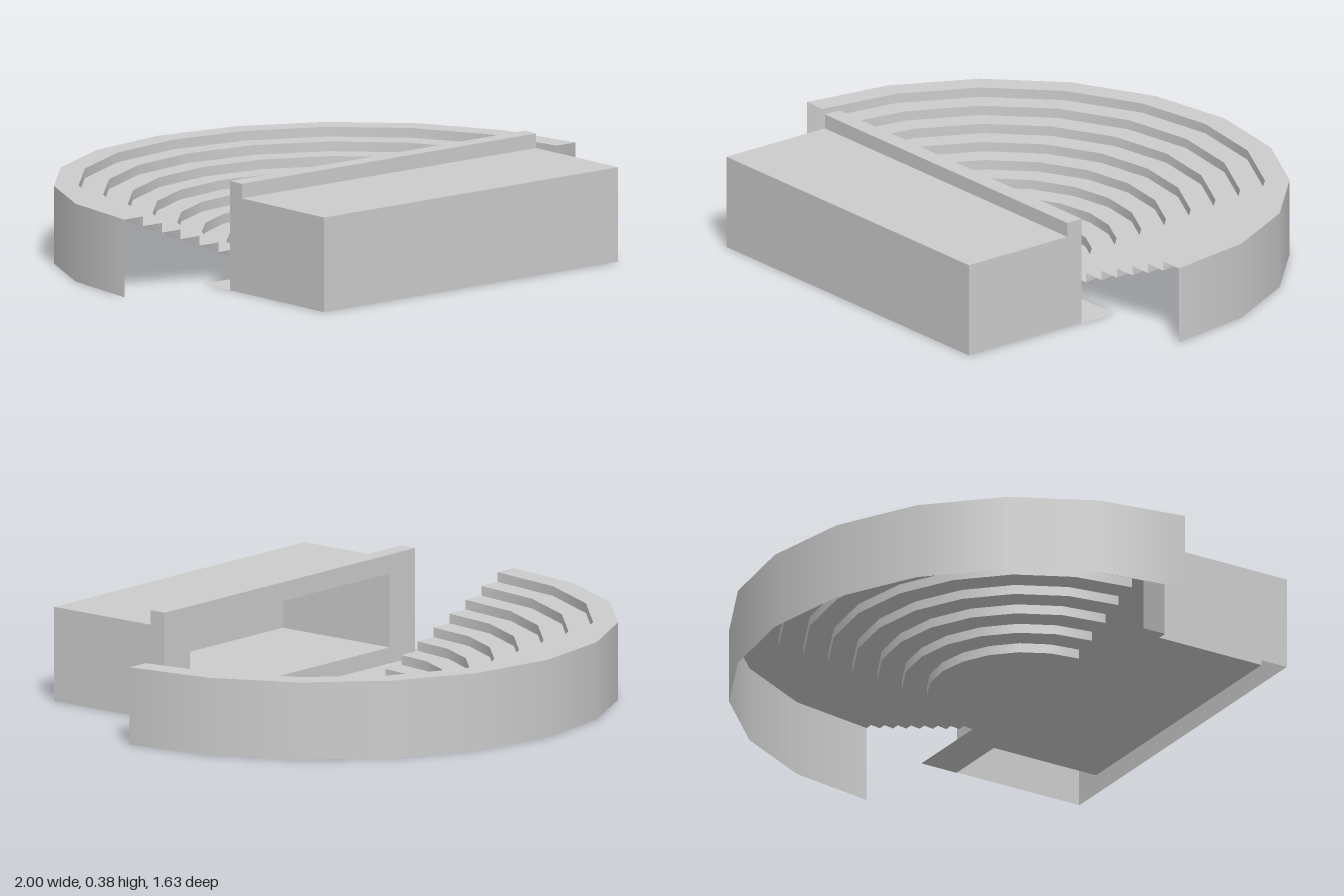
import * as THREE from 'three';

const material = new THREE.MeshStandardMaterial({ color: 0xcccccc, side: THREE.DoubleSide });

const ARC_Z = 0.185;                      // centre line of the seating half circle
const TIERS = 8, INNER_R = 1 / 3, DEPTH = 1 / 12, RISE = 0.267 / TIERS;
const HALF_W = 0.652, BACK_Z = 0.325, FRONT_Z = 0.812;
const ROOF_Y = 0.325, PARAPET_Y = 0.375, PARAPET_Z = 0.387;

function add(parent, name, geometry) {
  const mesh = new THREE.Mesh(geometry, material);
  mesh.name = name;
  parent.add(mesh);
  return mesh;
}

// Half-turn band swept from one straight profile line, [radius, y] to [radius, y]
function halfBand(from, to) {
  const points = [from, to].map(([r, y]) => new THREE.Vector2(r, y));
  return new THREE.LatheGeometry(points, 10, Math.PI / 2, Math.PI);
}

// Flat shape from [x, y] corners
function outline(corners) {
  return new THREE.Shape(corners.map(([x, y]) => new THREE.Vector2(x, y)));
}

function rectangle(x0, y0, x1, y1) {
  return outline([[x0, y0], [x1, y0], [x1, y1], [x0, y1]]);
}

// Horizontal sheet facing up
function sheet(halfWidth, z0, z1, y) {
  return new THREE.PlaneGeometry(2 * halfWidth, z1 - z0)
    .rotateX(-Math.PI / 2).translate(0, y, (z0 + z1) / 2);
}

// Upright sheet facing the front
function wall(halfWidth, y0, y1, z) {
  return new THREE.PlaneGeometry(2 * halfWidth, y1 - y0).translate(0, (y0 + y1) / 2, z);
}

function createSeating() {
  const seating = new THREE.Group();
  seating.name = 'seating';
  seating.position.z = ARC_Z;
  for (let i = 0; i < TIERS; i++) {
    const r = INNER_R + i * DEPTH, y = (i + 1) * RISE;
    add(seating, 'tread', halfBand([r + DEPTH, y], [r, y]));
    add(seating, 'riser', halfBand([r, y], [r, y - RISE]));
  }
  add(seating, 'outerWall', halfBand([1, 0], [1, TIERS * RISE]));
  // Half disc floor in front of the lowest tier
  add(seating, 'orchestraFloor', new THREE.CircleGeometry(INNER_R, 10, 0, Math.PI).rotateX(-Math.PI / 2));
  return seating;
}

function createStage() {
  const stage = new THREE.Group();
  stage.name = 'stageHouse';
  const NICHE_W = 0.52, NICHE_Y0 = 0.055, NICHE_Y1 = 0.31, NICHE_Z = 0.795;

  // Outer shell, open underneath
  add(stage, 'frontWall', wall(HALF_W, 0, ROOF_Y, FRONT_Z));
  add(stage, 'roof', sheet(HALF_W, PARAPET_Z, FRONT_Z, ROOF_Y));
  add(stage, 'parapetTop', sheet(HALF_W, BACK_Z, PARAPET_Z, PARAPET_Y));
  add(stage, 'parapetFace', wall(HALF_W, ROOF_Y, PARAPET_Y, PARAPET_Z));
  const side = outline([
    [-BACK_Z, 0], [-BACK_Z, PARAPET_Y], [-PARAPET_Z, PARAPET_Y],
    [-PARAPET_Z, ROOF_Y], [-FRONT_Z, ROOF_Y], [-FRONT_Z, 0],
  ]);

  // Frame around the stage opening, facing the seats
  const frame = rectangle(-HALF_W, 0, HALF_W, PARAPET_Y);
  frame.holes.push(rectangle(-NICHE_W, NICHE_Y0, NICHE_W, NICHE_Y1));
  add(stage, 'stageFrame', new THREE.ShapeGeometry(frame).rotateY(Math.PI).translate(0, 0, BACK_Z));

  // Recess behind the opening
  add(stage, 'stageFloor', sheet(NICHE_W, BACK_Z, NICHE_Z, NICHE_Y0));
  add(stage, 'stageCeiling', sheet(NICHE_W, BACK_Z, NICHE_Z, NICHE_Y1));
  add(stage, 'stageBackdrop', wall(NICHE_W, NICHE_Y0, NICHE_Y1, NICHE_Z));
  const nicheSide = rectangle(-NICHE_Z, NICHE_Y0, -BACK_Z, NICHE_Y1);

  for (const s of [-1, 1]) {
    add(stage, 'sideWall', new THREE.ShapeGeometry(side).rotateY(Math.PI / 2).translate(s * HALF_W, 0, 0));
    add(stage, 'stageSide', new THREE.ShapeGeometry(nicheSide).rotateY(Math.PI / 2).translate(s * NICHE_W, 0, 0));
  }
  return stage;
}

export function createModel() {
  const model = new THREE.Group();
  model.name = 'amphitheatre';
  model.add(createSeating(), createStage());
  // Ground strip joining the seats to the stage
  add(model, 'walkway', sheet(0.655, ARC_Z, BACK_Z, 0));
  return model;
}
